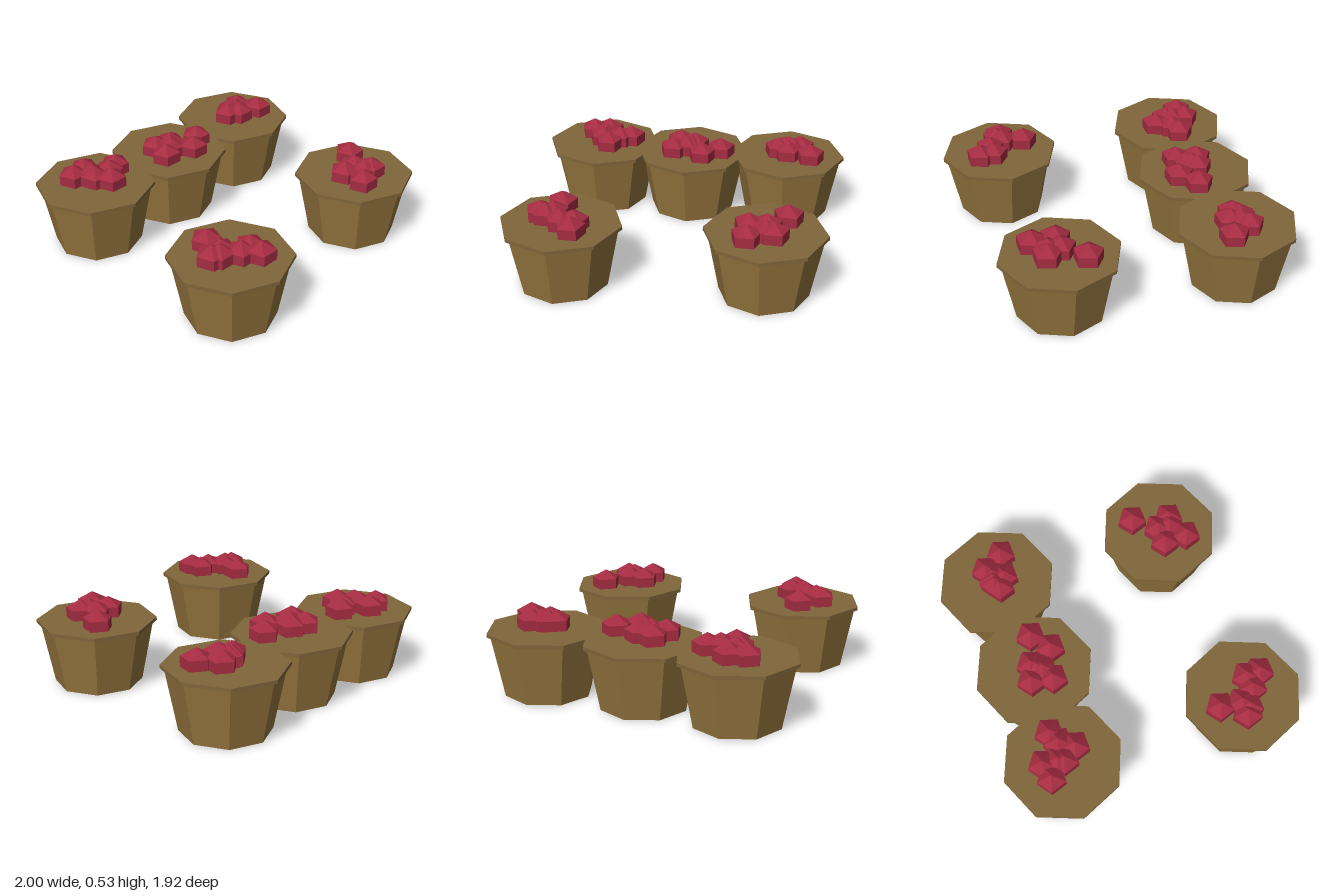
import * as THREE from 'three';

const material = (color) => new THREE.MeshStandardMaterial({ color, flatShading: true });

// Each barrel: centre [x, z] and its berries as [x, z] offsets
const BARRELS = [
  { name: 'backRightBarrel', at: [-0.625, -0.59],
    berries: [[-0.09, -0.1], [0.01, -0.12], [0.18, -0.02], [0.05, 0.1], [0.11, 0.01], [-0.01, 0.01], [0, -0.03]] },
  { name: 'backMiddleBarrel', at: [-0.015, -0.56],
    berries: [[-0.08, -0.04], [0.02, -0.01], [0.2, 0.05], [0.085, 0.14], [-0.11, 0.09], [-0.01, 0.02], [-0.03, 0.05]] },
  { name: 'backLeftBarrel', at: [0.625, -0.59],
    berries: [[-0.02, -0.015], [0.08, -0.04], [0.155, 0.085], [0.005, 0.055], [-0.06, 0.01], [0.03, -0.005], [0.005, -0.015]] },
  { name: 'frontRightBarrel', at: [-0.625, 0.585],
    berries: [[-0.03, -0.165], [-0.13, -0.025], [-0.05, -0.03], [0.095, 0.06], [0.015, 0.065], [0.095, 0.145], [-0.09, 0]] },
  { name: 'frontLeftBarrel', at: [0.593, 0.508],
    berries: [[0.12, -0.14], [-0.1, 0], [0.005, -0.005], [-0.1, 0.145], [0.055, 0.085], [0.005, 0.07]] },
];

export function createModel() {
  const model = new THREE.Group();
  model.name = 'berryBarrels';

  const wood = material(0x96763f);
  const lidWood = material(0x80663a);
  const red = material(0xa52c42);

  // Shared parts: tapered eight-sided tub, thin wider lid, five-sided berry
  const tubGeometry = new THREE.CylinderGeometry(0.352, 0.275, 0.39, 8).translate(0, 0.195, 0);
  const lidGeometry = new THREE.CylinderGeometry(0.374, 0.374, 0.022, 8).translate(0, 0.399, 0);
  const berryGeometry = new THREE.SphereGeometry(0.107, 5, 3).rotateY(-Math.PI / 2);

  const addMesh = (parent, name, geometry, mat, x = 0, y = 0, z = 0) => {
    const mesh = new THREE.Mesh(geometry, mat);
    mesh.name = name;
    mesh.position.set(x, y, z);
    parent.add(mesh);
  };

  for (const { name, at, berries } of BARRELS) {
    const barrel = new THREE.Group();
    barrel.name = name;
    barrel.position.set(at[0], 0, at[1]);
    addMesh(barrel, 'tub', tubGeometry, wood);
    addMesh(barrel, 'lid', lidGeometry, lidWood);
    // Berries sit half sunk in the lid
    berries.forEach(([x, z], i) => addMesh(barrel, `berry${i + 1}`, berryGeometry, red, x, 0.422, z));
    model.add(barrel);
  }
  return model;
}
